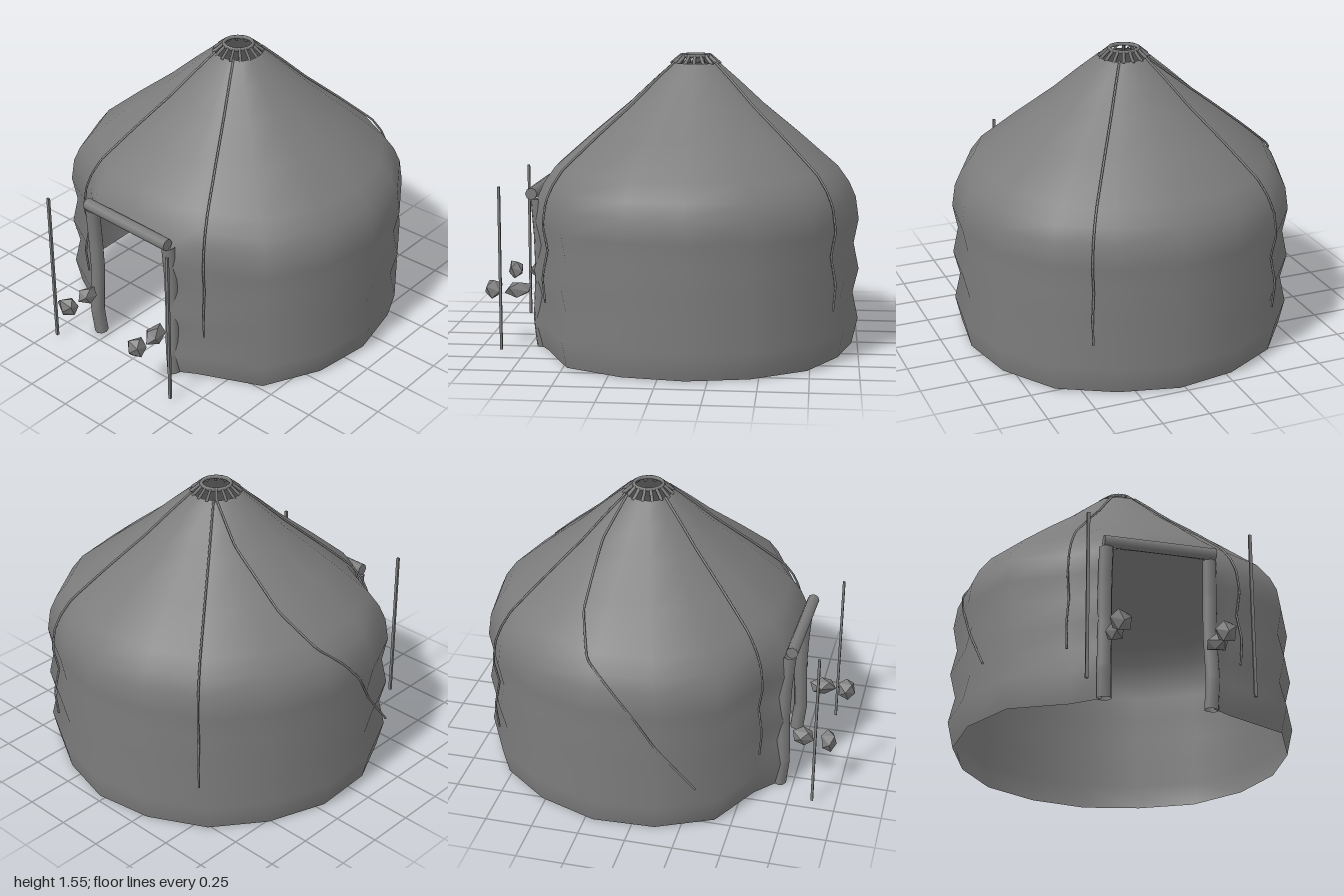
import * as THREE from 'three';
import { ConvexGeometry } from 'three/addons/geometries/ConvexGeometry.js';

const COLOR = 0x7c7c7c;
const mat = new THREE.MeshStandardMaterial({ color: COLOR, side: THREE.DoubleSide });
const flat = new THREE.MeshStandardMaterial({ color: COLOR, flatShading: true });
const CX = -0.01, CZ = -0.12;

// plan outline [x, z], from the back round the left side to the door and on
const outline = [
  [0.03, -1], [0.35, -0.92], [0.64, -0.76], [0.83, -0.47], [0.9, -0.14], [0.855, 0.19],
  [0.7, 0.5], [0.36, 0.655], [0.25, 0.72], [-0.04, 0.73], [-0.33, 0.7], [-0.46, 0.585],
  [-0.75, 0.43], [-0.89, 0.13], [-0.905, -0.21], [-0.79, -0.53], [-0.59, -0.79], [-0.29, -0.95],
];
const doorColumns = [8, 9];
// side profile [scale of the outline, height]
const profile = [
  [0.965, 0], [1, 0.14], [0.965, 0.28], [1, 0.41], [0.967, 0.55], [0.995, 0.68],
  [0.975, 0.8], [0.935, 0.88], [0.865, 0.965], [0.645, 1.13], [0.42, 1.29], [0.27, 1.41], [0.145, 1.505],
];
const EAVE = 6;

function add(group, name, geometry, material = mat) {
  const mesh = new THREE.Mesh(geometry, material);
  mesh.name = name;
  group.add(mesh);
  return mesh;
}

function at([x, z], [s, y]) {
  return new THREE.Vector3(CX + (x - CX) * s, y, CZ + (z - CZ) * s);
}

// wavy felt wall and roof, left open at the doorway
function shell() {
  const pos = [], index = [], n = outline.length;
  for (const row of profile) for (const p of outline) pos.push(...at(p, row).toArray());
  for (let j = 0; j < profile.length - 1; j++) {
    for (let i = 0; i < n; i++) {
      if (j < EAVE && doorColumns.includes(i)) continue;
      const a = j * n + i, b = j * n + (i + 1) % n, c = a + n, d = b + n;
      index.push(a, c, b, b, c, d);
    }
  }
  const g = new THREE.BufferGeometry();
  g.setAttribute('position', new THREE.Float32BufferAttribute(pos, 3));
  g.setIndex(index);
  g.computeVertexNormals();
  return g;
}

// straight round bar between two points
function bar(group, name, a, b, r0, r1, sides = 8) {
  const dir = b.clone().sub(a);
  const mesh = add(group, name, new THREE.CylinderGeometry(r1, r0, dir.length(), sides));
  mesh.position.copy(a).add(b).multiplyScalar(0.5);
  mesh.quaternion.setFromUnitVectors(new THREE.Vector3(0, 1, 0), dir.normalize());
}

function tube(group, name, points, radius, sides) {
  const curve = new THREE.CatmullRomCurve3(points, false, 'catmullrom', 0.1);
  add(group, name, new THREE.TubeGeometry(curve, 50, radius, sides));
}

// faceted stone
function stone(group, x, y, z, sx, sy, sz, turn, seed) {
  const rnd = () => (seed = (seed * 16807) % 2147483647) / 2147483647;
  for (let i = 0; i < 5; i++) rnd();
  const pts = [];
  for (let i = 0; i < 10; i++) {
    const h = 1 - (2 * i + 1) / 10, r = Math.sqrt(1 - h * h), t = i * 2.4;
    const k = 0.92 + 0.22 * rnd();
    pts.push(new THREE.Vector3(Math.cos(t) * r * sx * k, h * sy * k, Math.sin(t) * r * sz * k));
  }
  const mesh = add(group, 'stone', new ConvexGeometry(pts), flat);
  mesh.position.set(x, y, z);
  mesh.rotation.y = turn;
}

export function createModel() {
  const model = new THREE.Group();
  model.name = 'roundTent';
  add(model, 'feltWallAndRoof', shell());

  // smoke-hole crown: a ring held up by spokes
  const crown = new THREE.Group();
  crown.name = 'crown';
  crown.position.set(CX, 0, CZ);
  model.add(crown);
  const ring = add(crown, 'crownRing', new THREE.TorusGeometry(0.076, 0.01, 6, 24));
  ring.rotation.x = Math.PI / 2;
  ring.position.y = 1.542;
  for (let i = 0; i < 16; i++) {
    const a = (i / 16) * Math.PI * 2, c = Math.cos(a), s = Math.sin(a);
    bar(crown, 'crownSpoke', new THREE.Vector3(c * 0.132, 1.497, s * 0.132),
      new THREE.Vector3(c * 0.078, 1.543, s * 0.078), 0.01, 0.009, 4);
  }

  // ropes that follow the roof and hang down the wall
  const ropeRows = profile.slice(2).reverse();
  ropeRows[ropeRows.length - 1] = [0.985, 0.27];
  for (const p of [[0.465, -0.875], [-0.565, -0.825], [-0.48, 0.6], [0.415, 0.645]]) {
    tube(model, 'rope', ropeRows.map((row) => at(p, row).add(new THREE.Vector3(0, 0.004, 0))), 0.006, 5);
  }
  // slanting rope across the right side
  tube(model, 'slantingRope', [
    [-0.1, 1.51, -0.21], [-0.3, 1.35, -0.285], [-0.45, 1.235, -0.295], [-0.62, 1.1, -0.3], [-0.81, 0.94, -0.23],
    [-0.875, 0.82, -0.1], [-0.89, 0.68, 0.02], [-0.87, 0.5, 0.13], [-0.835, 0.26, 0.33],
  ].map((p) => new THREE.Vector3(...p)), 0.006, 5);

  // door frame: slightly crooked jambs and a rolled-up flap as the lintel
  for (const [x, out] of [[-0.307, -1], [0.233, 1]]) {
    tube(model, 'doorJamb', [[0, 0, 0.675], [0.006, 0.15, 0.69], [0, 0.4, 0.68], [0.002, 0.6, 0.685], [0, 0.795, 0.7]]
      .map(([dx, y, z]) => new THREE.Vector3(x + out * dx, y, z)), 0.037, 8);
  }
  bar(model, 'doorLintel', new THREE.Vector3(-0.325, 0.823, 0.715),
    new THREE.Vector3(0.255, 0.823, 0.73), 0.032, 0.032);

  // free-standing poles
  for (const x of [-0.447, 0.387]) {
    const pole = add(model, 'pole', new THREE.BoxGeometry(0.015, 0.87, 0.013), flat);
    pole.position.set(x, 0.445, 0.875);
  }

  // stones in front of the door
  stone(model, -0.287, 0.3, 0.787, 0.048, 0.05, 0.06, 0.1, 11);
  stone(model, 0.222, 0.3, 0.808, 0.048, 0.05, 0.074, 0.35, 23);
  stone(model, -0.292, 0.3, 0.925, 0.062, 0.058, 0.046, 0.35, 37);
  stone(model, 0.222, 0.3, 0.945, 0.053, 0.06, 0.05, 0.2, 51);
  return model;
}
